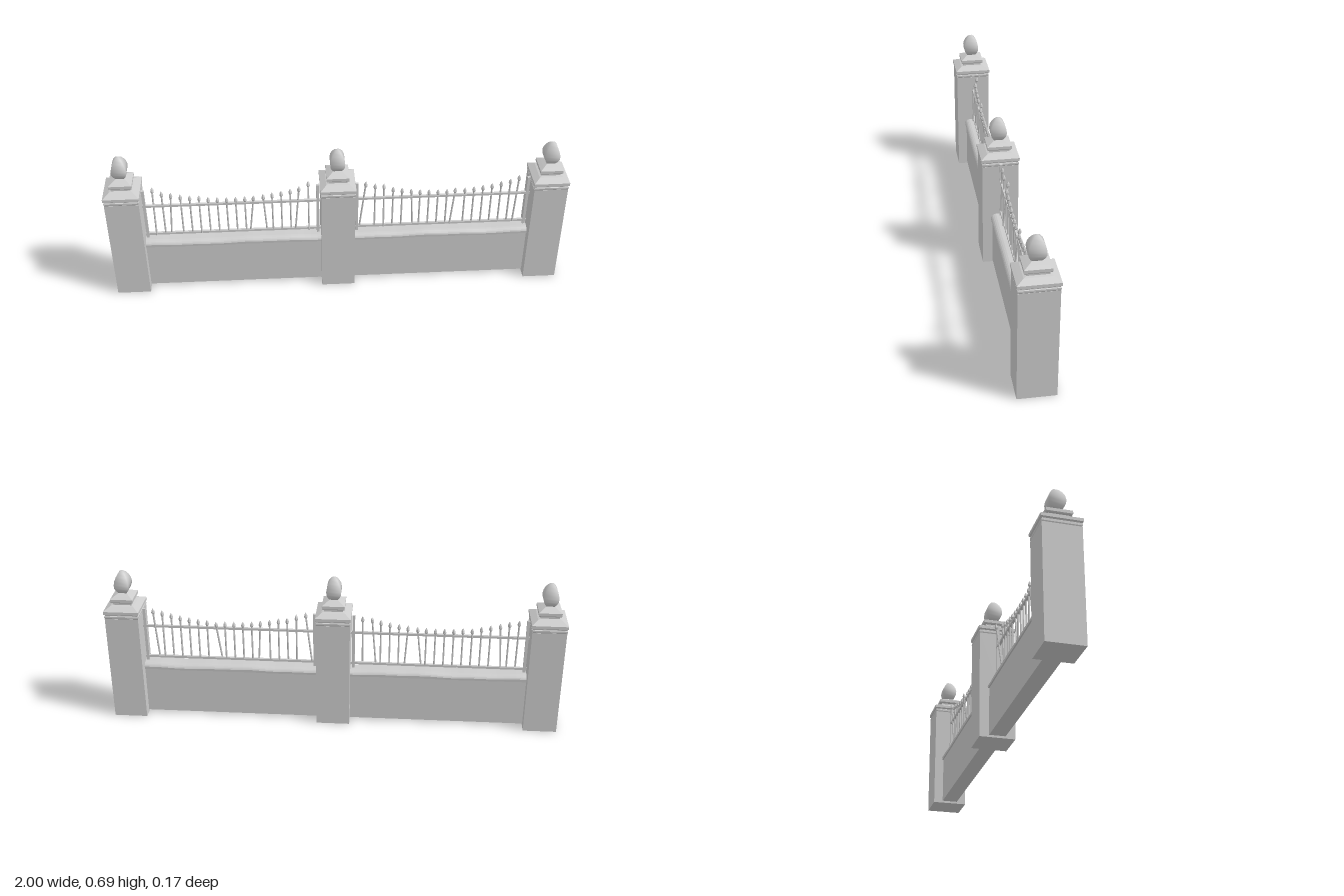
import * as THREE from 'three';

const smooth = new THREE.MeshStandardMaterial({ color: 0xcccccc });
const flat = new THREE.MeshStandardMaterial({ color: 0xcccccc, flatShading: true });

function add(parent, name, geometry, material = flat) {
  const mesh = new THREE.Mesh(geometry, material);
  mesh.name = name;
  parent.add(mesh);
  return mesh;
}

// Square-section turned shape: profile gives [half width, height]
function squareLathe(profile) {
  const pts = profile.map(([r, y]) => new THREE.Vector2(r * Math.SQRT2, y));
  return new THREE.LatheGeometry(pts, 4, Math.PI / 4);
}

function makePillar(x) {
  const pillar = new THREE.Group();
  pillar.name = 'pillar';
  add(pillar, 'pillarShaft', squareLathe([[0, 0], [0.079, 0], [0.079, 0.49], [0, 0.49]]));
  add(pillar, 'pillarCap', squareLathe([
    [0, 0.488], [0.077, 0.488], [0.08, 0.495], [0.08, 0.502], [0.077, 0.504], [0.077, 0.507],
    [0.08, 0.51], [0.083, 0.512], [0.083, 0.525], [0.07, 0.532], [0.055, 0.54], [0.044, 0.543],
    [0.044, 0.552], [0.05, 0.554], [0.053, 0.558], [0.053, 0.571], [0.038, 0.579], [0.02, 0.588], [0, 0.589],
  ]));
  // Bud-shaped finial with rounded shading
  add(pillar, 'finial', squareLathe([
    [0, 0.587], [0.019, 0.588], [0.027, 0.6], [0.033, 0.614], [0.034, 0.63],
    [0.031, 0.647], [0.024, 0.664], [0.015, 0.678], [0.007, 0.686], [0, 0.688],
  ]), smooth);
  pillar.scale.x = 0.93;
  pillar.position.x = x;
  return pillar;
}

// Worn coping: rounded section run along x with a slightly wavy top
function copingGeometry(length, phase) {
  const s = new THREE.Shape();
  s.moveTo(-0.042, 0.226);
  s.lineTo(0.042, 0.226);
  s.lineTo(0.043, 0.237);
  s.quadraticCurveTo(0.038, 0.25, 0.02, 0.253);
  s.lineTo(-0.02, 0.253);
  s.quadraticCurveTo(-0.038, 0.25, -0.043, 0.237);
  s.closePath();
  const g = new THREE.ExtrudeGeometry(s, { depth: length, steps: 28, bevelEnabled: false, curveSegments: 4 });
  g.translate(0, 0, -length / 2).rotateY(Math.PI / 2);
  const p = g.attributes.position;
  for (let i = 0; i < p.count; i++) {
    const x = p.getX(i), y = p.getY(i);
    const wave = Math.sin(x * 13 + phase) + 0.6 * Math.sin(x * 31 + phase * 2);
    p.setY(i, y + wave * 0.0018 * (y > 0.23 ? 1 : 0.3));
  }
  g.computeVertexNormals();
  return g;
}

// Bar with a spear tip, running from the lower rail to its top point
function makeBar(bottom, top) {
  const bar = new THREE.Group();
  bar.name = 'bar';
  const dir = top.clone().sub(bottom);
  const len = dir.length();
  const shaft = add(bar, 'barShaft', new THREE.CylinderGeometry(0.0042, 0.0042, len - 0.025, 6));
  shaft.position.y = (len - 0.025) / 2;
  const tip = add(bar, 'spearTip', new THREE.LatheGeometry(
    [[0, -0.031], [0.004, -0.03], [0.0085, -0.021], [0.006, -0.011], [0, 0]].map(([r, y]) => new THREE.Vector2(r, y)), 6));
  tip.position.y = len;
  bar.position.copy(bottom);
  bar.quaternion.setFromUnitVectors(new THREE.Vector3(0, 1, 0), dir.normalize());
  return bar;
}

// Bent bars: index -> [shift of foot in x, lean in z]
const bentBars = [
  { 0: [0, -0.014], 2: [-0.014, 0], 5: [0, -0.008], 11: [-0.022, 0], 12: [0.012, 0], 16: [-0.02, 0], 17: [0, -0.02] },
  { 0: [-0.028, 0], 2: [0, -0.013], 5: [0.012, 0], 10: [-0.02, -0.01], 17: [-0.014, -0.008] },
];

function makeSection(index) {
  const section = new THREE.Group();
  section.name = 'fenceSection';
  const length = 0.8;
  add(section, 'lowWall', new THREE.BoxGeometry(length, 0.218, 0.072)).position.y = 0.119;
  add(section, 'coping', copingGeometry(length, index * 2.1), flat);
  for (const y of [0.273, 0.424]) {
    add(section, 'rail', new THREE.BoxGeometry(length, 0.01, 0.011)).position.y = y;
  }
  // End posts beside the pillars
  for (const side of [-1, 1]) {
    add(section, 'endPost', new THREE.BoxGeometry(0.012, 0.26, 0.012)).position.set(side * 0.377, 0.377, 0);
  }
  // Bars whose tops dip towards the middle
  const count = 18;
  for (let i = 0; i < count; i++) {
    const t = (i / (count - 1)) * 2 - 1;
    const x = t * 0.337;
    const [dx, dz] = bentBars[index][i] ?? [0, 0];
    section.add(makeBar(
      new THREE.Vector3(x + dx, 0.27, -dz * 0.6),
      new THREE.Vector3(x, 0.457 + 0.057 * t * t, dz)));
  }
  section.position.x = index === 0 ? -0.463 : 0.463;
  return section;
}

export function createModel() {
  const model = new THREE.Group();
  model.name = 'fence';
  for (const x of [-0.9228, 0, 0.9228]) model.add(makePillar(x));
  for (const i of [0, 1]) model.add(makeSection(i));
  return model;
}
